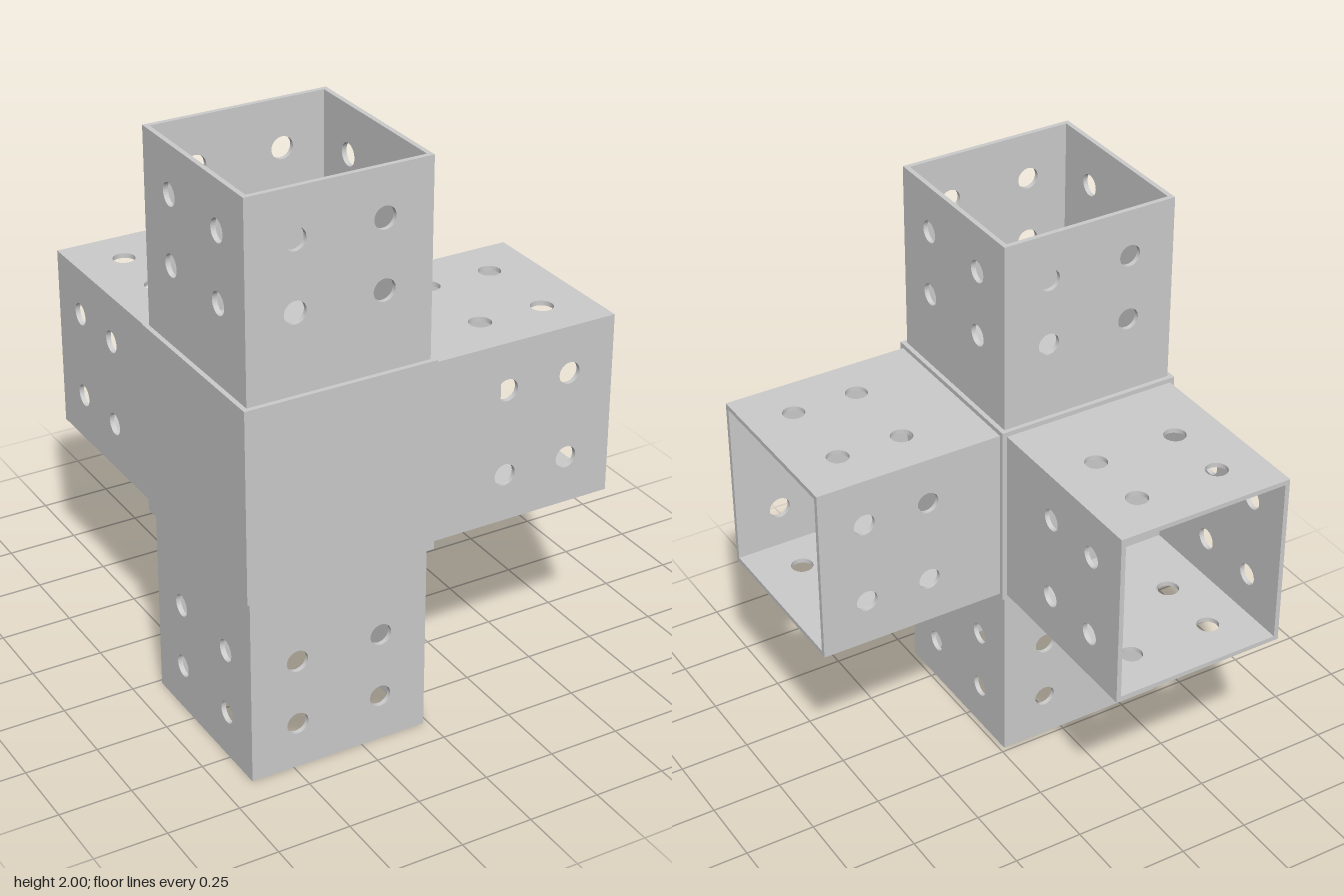
import * as THREE from 'three';

const HUB = 0.666;      // edge of the centre cube
const LENGTH = 0.667;   // sleeve length
const HALF = 0.3165;    // sleeve outer half width
const WALL = 0.0167;    // sheet thickness
const HOLE_R = 0.038;
const HOLE_X = 0.151;
const HOLE_Y = [0.27, 0.503];

const material = new THREE.MeshStandardMaterial({ color: 0xcccccc });

// One sheet with four bolt holes; it stops one thickness short so four sheets interlock at the corners
function wallGeometry() {
  const shape = new THREE.Shape();
  shape.moveTo(-HALF, 0);
  shape.lineTo(HALF - WALL, 0);
  shape.lineTo(HALF - WALL, LENGTH);
  shape.lineTo(-HALF, LENGTH);
  shape.closePath();
  for (const x of [-HOLE_X, HOLE_X]) {
    for (const y of HOLE_Y) {
      const hole = new THREE.Path();
      hole.absarc(x, y, HOLE_R, 0, Math.PI * 2, true);
      shape.holes.push(hole);
    }
  }
  const geometry = new THREE.ExtrudeGeometry(shape, { depth: WALL, bevelEnabled: false, curveSegments: 16 });
  return geometry.translate(0, 0, HALF - WALL);
}

// Square open sleeve rising along +y from the hub face
function createSleeve(name, geometry) {
  const sleeve = new THREE.Group();
  sleeve.name = name;
  for (let i = 0; i < 4; i++) {
    const wall = new THREE.Mesh(geometry, material);
    wall.name = 'sleeveWall';
    wall.rotation.y = i * Math.PI / 2;
    sleeve.add(wall);
  }
  return sleeve;
}

export function createModel() {
  const model = new THREE.Group();
  model.name = 'postConnector';

  // Centre cube
  const hub = new THREE.Mesh(new THREE.BoxGeometry(HUB, HUB, HUB), material);
  hub.name = 'hub';
  model.add(hub);

  // Sleeves: up, down, left and back
  const geometry = wallGeometry();
  const up = new THREE.Vector3(0, 1, 0);
  const sleeves = [
    ['upperSleeve', [0, 1, 0], [0, 0, 0]],
    ['lowerSleeve', [0, -1, 0], [Math.PI, 0, 0]],
    ['leftSleeve', [1, 0, 0], [0, 0, -Math.PI / 2]],
    ['backSleeve', [0, 0, -1], [-Math.PI / 2, 0, 0]],
  ];
  for (const [name, direction, rotation] of sleeves) {
    const sleeve = createSleeve(name, geometry);
    sleeve.position.set(...direction).multiplyScalar(HUB / 2);
    sleeve.rotation.set(...rotation);
    model.add(sleeve);
  }

  model.position.set(-HUB / 2, HUB / 2 + LENGTH, HUB / 2);
  const root = new THREE.Group();
  root.name = 'model';
  root.add(model);
  return root;
}
